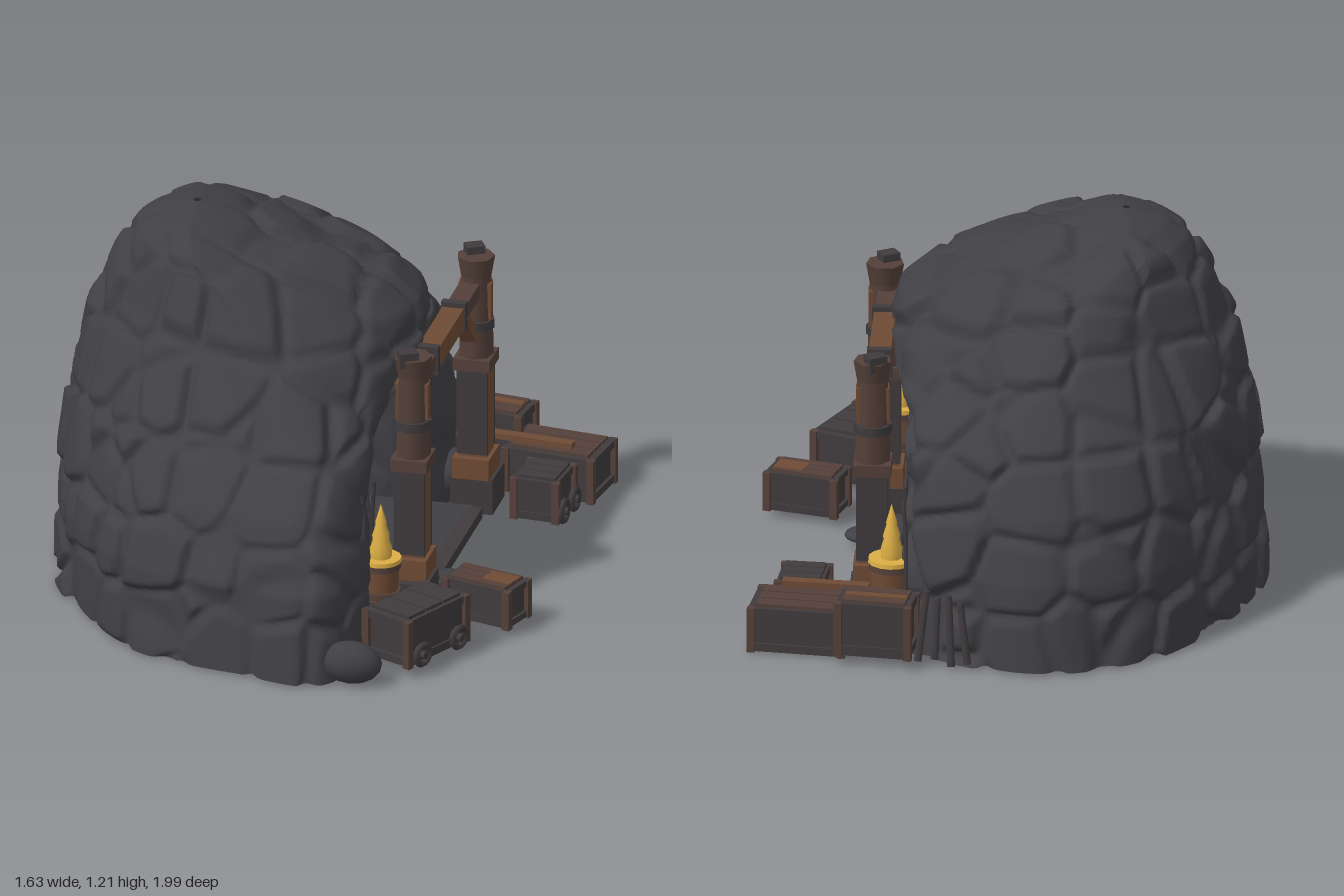
import * as THREE from 'three';

const mat = (name, color, side = THREE.FrontSide) => {
  const m = new THREE.MeshStandardMaterial({ color, side });
  m.name = name;
  return m;
};
const rock = mat('charcoal rock', 0x403f44, THREE.DoubleSide), wood = mat('brown wood', 0x6f4b35);
const darkWood = mat('dark wood', 0x403b3d), wornWood = mat('worn wood', 0x544039), gold = mat('gold', 0xdcae45);
const teal = mat('bright teal', 0x5cc6ca, THREE.DoubleSide), deepTeal = mat('deep teal', 0x1f5559, THREE.DoubleSide);
const { lerp, clamp, smoothstep } = THREE.MathUtils;

// Repeatable random value and cell noise for the stones
const hash = (x, y, z) => {
  const s = Math.sin(x * 127.1 + y * 311.7 + z * 74.7) * 43758.5453;
  return s - Math.floor(s);
};
function stone(x, y, z, size) {
  x /= size; y /= size; z /= size;
  const cx = Math.floor(x), cy = Math.floor(y), cz = Math.floor(z);
  let f1 = 9, f2 = 9, id = 0;
  for (let i = cx - 1; i <= cx + 1; i++) for (let j = cy - 1; j <= cy + 1; j++) for (let k = cz - 1; k <= cz + 1; k++) {
    const d = Math.hypot(i + 0.2 + 0.6 * hash(i, j, k) - x, j + 0.2 + 0.6 * hash(j, k, i + 9) - y, k + 0.2 + 0.6 * hash(k, i + 5, j) - z);
    if (d < f1) { f2 = f1; f1 = d; id = hash(i + 3, k, j); } else if (d < f2) f2 = d;
  }
  const b = smoothstep(f2 - f1, 0, 0.22);
  return 0.026 * (b - 1) + 0.024 * (id - 0.4) * b;
}

// Surface from rows of points
function surface(rows) {
  const n = rows[0].length, index = [];
  for (let j = 0; j < rows.length - 1; j++) for (let i = 0; i < n - 1; i++) {
    const a = j * n + i, b = a + n;
    index.push(a, b, a + 1, a + 1, b, b + 1);
  }
  const g = new THREE.BufferGeometry().setFromPoints(rows.flat());
  g.setIndex(index);
  g.computeVertexNormals();
  return g;
}
function add(parent, name, geo, material, [x, y, z] = [0, 0, 0], ry = 0) {
  const m = new THREE.Mesh(geo, material);
  m.name = name;
  m.position.set(x, y, z);
  m.rotation.y = ry;
  parent.add(m);
  return m;
}
const box = (p, name, size, material, pos, ry) => add(p, name, new THREE.BoxGeometry(...size), material, pos, ry);
const cyl = (p, name, r1, r2, h, n, material, pos) => add(p, name, new THREE.CylinderGeometry(r1, r2, h, n), material, pos);

// Mound levels: y, back x, front x, +z edge, -z edge
const levels = [
  [0.025, -0.81, 0.36, 0.98, -0.99], [0.3, -0.81, 0.35, 0.94, -0.95], [0.5, -0.785, 0.32, 0.84, -0.88],
  [0.65, -0.77, 0.32, 0.72, -0.79], [0.85, -0.73, 0.37, 0.56, -0.61], [0.95, -0.68, 0.34, 0.48, -0.53],
  [1.03, -0.65, 0.25, 0.42, -0.47], [1.09, -0.61, 0.1, 0.37, -0.41], [1.15, -0.57, -0.12, 0.3, -0.32],
  [1.19, -0.50, -0.24, 0.19, -0.21], [1.22, -0.38, -0.36, 0.01, -0.01],
];
const MID = -0.095;
const mouthHalf = y => 0.35 * Math.sqrt(Math.max(0, 1 - (Math.max(0, y - 0.5) / 0.26) ** 2));
// Outline: depth fraction and width fraction, from one side of the mouth round the back
const around = [[0.91, 1], [0.7, 0.97], [0.5, 0.92], [0.33, 0.82], [0.18, 0.6], [0.05, 0.3], [0, -0.08],
  [0.05, -0.4], [0.18, -0.7], [0.33, -0.9], [0.57, -1], [0.74, -0.95]];

function ring(y) {
  const k = levels.findIndex(l => l[0] > y) - 1, a = levels[k], b = levels[k + 1];
  const t = (y - a[0]) / (b[0] - a[0]);
  const [, xb, xf, zp, zm] = a.map((q, i) => lerp(q, b[i], t));
  const w = mouthHalf(y), round = 0.4 * smoothstep(y, 0.6, 1.08);
  const dent = 0.085 * (1 - smoothstep(y, 0.55, 0.78));
  const pt = (fx, z) => {
    const e = z > 0 ? z / zp : z / zm;
    return new THREE.Vector3(xb + (xf - xb) * fx * (1 - round * e * e * fx), y, z);
  };
  const front = (s, ze) => [[1 - dent, 0], [1 - dent * 0.4, 0.3], [s > 0 ? 1 : 0.93, 0.7]].map(([fx, q]) => pt(fx, lerp(MID * (1 - smoothstep(y, 1, 1.2)) + s * w, ze, q)));
  const pts = [...front(1, zp), ...around.map(([fx, f]) => pt(fx, f > 0 ? f * zp : -f * zm)), ...front(-1, zm).reverse()];
  const fade = 1 - smoothstep(y, 1.16, 1.21);
  return new THREE.CatmullRomCurve3(pts).getPoints(260).map(p => {
    const d = new THREE.Vector3(p.x + 0.2, (p.y - 0.3) * 0.8, p.z + 0.03).normalize();
    return p.addScaledVector(d, 0.01 + fade * stone(p.x, p.y, p.z, 0.22));
  });
}

function buildMound(g) {
  const rows = [];
  for (let i = 0; i <= 100; i++) rows.push(ring(i < 85 ? 0.025 + i * 0.0132 : 1.147 + 0.0725 * Math.sin((i - 85) / 15 * Math.PI / 2)));
  add(g, 'rockMound', surface(rows), rock);
  const base = new THREE.Shape(rows[0].map(p => new THREE.Vector2(p.x, p.z)));
  add(g, 'underside', new THREE.ShapeGeometry(base).rotateX(Math.PI / 2), rock, [0, 0.025, 0]);

  // Tunnel lining, closing in towards the back
  const arch = (t, s) => {
    const a = clamp((t - 0.2) / 0.6, 0, 1) * Math.PI;
    const y = t < 0.2 || t > 0.8 ? 0.03 + 0.47 * Math.min(t, 1 - t) / 0.2 : 0.5 + 0.26 * Math.sin(a);
    return [MID + 0.36 * s * Math.cos(a), y * s + 0.03 * (1 - s)];
  };
  const lining = [];
  for (let j = 0; j <= 30; j++) {
    const s = 1.03 - 0.1 * j / 30;
    lining.push(Array.from({ length: 81 }, (_, i) => {
      const [z, y] = arch(i / 80, s);
      const x = lerp(0.245 + 0.085 * smoothstep(y, 0.55, 0.76), -0.26, j / 30);
      const k = 1 - (j > 1 ? 1.2 * stone(x + 7, y, z, 0.17) : 0);
      return new THREE.Vector3(x, 0.3 + (y - 0.3) * k, MID + (z - MID) * k);
    }));
  }
  add(g, 'tunnelWall', surface(lining), rock);

  // Back of the tunnel leans away, with a glowing pool painted on it
  const LEAN = 0.32;
  const plate = (name, pts, m, x) => add(g, name, new THREE.ShapeGeometry(new THREE.Shape(
    pts.map(([z, y]) => new THREE.Vector2(-z, y / Math.cos(LEAN))))).rotateY(Math.PI / 2).rotateZ(LEAN), m, [x, 0, 0]);
  plate('tunnelBack', Array.from({ length: 41 }, (_, i) => arch(i / 40, 1.02)), rock, 0);
  plate('glowEdge', [[0.19, 0.07], [0.2, 0.2], [0.225, 0.3], [0.22, 0.4], [0.2, 0.41], [0.18, 0.36], [0.11, 0.35], [0.06, 0.37],
    [0.03, 0.41], [-0.01, 0.45], [-0.07, 0.42], [-0.14, 0.48], [-0.19, 0.42], [-0.26, 0.45], [-0.37, 0.39], [-0.41, 0.3],
    [-0.4, 0.18], [-0.36, 0.07]], deepTeal, 0.012);
  plate('glow', [[0.17, 0.075], [0.185, 0.2], [0.15, 0.27], [0.125, 0.25], [0.1, 0.17], [0.08, 0.18], [0.06, 0.31], [0.02, 0.33],
    [-0.02, 0.4], [-0.07, 0.41], [-0.08, 0.32], [-0.1, 0.29], [-0.14, 0.23], [-0.18, 0.24], [-0.22, 0.32], [-0.3, 0.33],
    [-0.35, 0.27], [-0.37, 0.23], [-0.36, 0.15], [-0.31, 0.08]], teal, 0.018);
  box(g, 'tunnelFloor', [0.64, 0.035, 0.72], rock, [0.1, 0.0425, MID]);

  // Loose boulders: position, then half sizes
  for (const [x, y, z, a, b, c] of [[0.36, 0.09, 0.92, 0.1, 0.07, 0.065], [0.47, 0.05, 0.1, 0.06, 0.02, 0.06],
    [0.34, 0.09, 0.45, 0.07, 0.07, 0.08], [0.3, 0.1, -0.62, 0.09, 0.08, 0.09]]) {
    add(g, 'boulder', new THREE.IcosahedronGeometry(1, 2), rock, [x, y, z]).scale.set(a, b, c);
  }
}

// Gate: stacked posts, lintel and braces
function buildGate(g) {
  for (const [z, s] of [[0.31, 1], [-0.52, -1]]) {
    const p = new THREE.Group();
    p.name = 'gatePost';
    p.position.set(0.41, 0, z);
    g.add(p);
    box(p, 'postFoot', [0.14, 0.12, 0.16], darkWood, [0, 0.09, s * 0.02]);
    box(p, 'postPlinth', [0.12, 0.07, 0.14], wood, [0, 0.185, 0]);
    box(p, 'postShaft', [0.095, 0.33, 0.09], wood, [0, 0.38, 0]);
    for (const e of [-1, 1]) box(p, 'postEdge', [0.1, 0.3, 0.015], darkWood, [0, 0.38, e * 0.045]);
    box(p, 'postCollar', [0.12, 0.04, 0.125], wornWood, [0, 0.54, 0]);
    cyl(p, 'upperPost', 0.05, 0.058, 0.3, 7, wornWood, [0, 0.7, 0]);
    box(p, 'upperFace', [0.105, 0.12, 0.05], wood, [0, 0.75, 0], 0.1);
    cyl(p, 'postBand', 0.062, 0.062, 0.03, 8, darkWood, [0, 0.67, 0]);
    cyl(p, 'postCap', 0.062, 0.048, 0.08, 7, wornWood, [0, 0.86, 0]);
    box(p, 'capSplinter', [0.06, 0.05, 0.05], darkWood, [-0.01, 0.9, s * 0.025], 0.5);
    const brace = box(g, 'brace', [0.05, 0.17, 0.035], wood, [0.4, 0.69, z - s * 0.1]);
    brace.rotation.x = -s * 0.8;
    box(g, 'lintelClamp', [0.08, 0.095, 0.03], darkWood, [0.4, 0.793, MID + s * 0.18]);
    box(g, 'lintelEnd', [0.065, 0.05, 0.2], wornWood, [0.4, 0.793, MID + s * 0.29]);
  }
  box(g, 'lintel', [0.07, 0.07, 0.36], wood, [0.4, 0.79, MID]);
  box(g, 'threshold', [0.05, 0.035, 0.66], darkWood, [0.43, 0.05, MID]);
}

// Barrel holding a tapering golden flame
function buildTorch(g, x, z, r) {
  const t = new THREE.Group();
  t.name = 'torch';
  t.position.set(x, 0, z);
  g.add(t);
  cyl(t, 'stand', r, r * 1.15, 0.14, 10, darkWood, [0, 0.1, 0]);
  cyl(t, 'barrel', r, r * 0.9, 0.13, 14, wood, [0, 0.235, 0]);
  for (const y of [0.19, 0.285]) cyl(t, 'hoop', r * 1.07, r * 1.07, 0.022, 14, wornWood, [0, y, 0]);
  cyl(t, 'embers', r * 1.1, r * 1.12, 0.014, 14, gold, [0, 0.303, 0]);
  const flame = [[0.034, 0.3], [0.036, 0.34], [0.026, 0.37], [0.028, 0.385], [0.017, 0.42], [0.018, 0.43], [0.001, 0.49]];
  add(t, 'flame', new THREE.LatheGeometry(flame.map(p => new THREE.Vector2(...p)), 10), gold);
  const hook = new THREE.CatmullRomCurve3([[-0.05, 0.1, -0.085], [-0.05, 0.4, -0.085], [-0.04, 0.53, -0.07], [-0.04, 0.5, -0.05]].map(p => new THREE.Vector3(...p)));
  add(t, 'hook', new THREE.TubeGeometry(hook, 12, 0.007, 5), darkWood);
}

// Crate or cart: dark body with rails, planks and optional wheels
function buildCrate(g, name, [w, h, d], [x, y, z], ry, lid, wheels) {
  const c = new THREE.Group();
  c.name = name;
  c.position.set(x, y, z);
  c.rotation.y = ry;
  g.add(c);
  box(c, 'body', [w * 0.92, h, d * 0.92], darkWood, [0, h / 2, 0]);
  for (const v of [0.12, 0.92]) box(c, 'rail', [w, h * 0.16, d], darkWood, [0, h * v, 0]);
  for (const i of [-1, 0, 1]) box(c, 'lidPlank', [w * 0.85, 0.012, d * 0.26], lid, [0, h + 0.004, i * d * 0.29]);
  for (const sx of [-1, 1]) for (const sz of [-1, 1]) box(c, 'corner', [0.025, h, 0.025], wornWood, [sx * w * 0.47, h / 2, sz * d * 0.47]);
  if (wheels) for (const sz of [-1, 1]) {
    const o = [w / 2 + 0.012, 0.035, sz * d * 0.3];
    add(c, 'wheel', new THREE.TorusGeometry(0.032, 0.011, 6, 14), darkWood, o, Math.PI / 2);
    cyl(c, 'hub', 0.013, 0.013, 0.03, 8, darkWood, o).rotation.z = Math.PI / 2;
  }
}

export function createModel() {
  const g = new THREE.Group();
  g.name = 'caveEntrance';
  buildMound(g);
  buildGate(g);
  buildTorch(g, 0.37, 0.57, 0.06);
  buildTorch(g, 0.34, -0.73, 0.068);
  buildCrate(g, 'mineCart', [0.18, 0.16, 0.3], [0.51, 0.05, 0.67], -0.45, darkWood, true);
  buildCrate(g, 'smallCrate', [0.24, 0.13, 0.13], [0.66, 0.04, 0.345], -0.3, wornWood, false);
  buildCrate(g, 'longCrate', [0.31, 0.15, 0.2], [0.625, 0.02, -0.76], -0.14, wornWood, false);
  buildCrate(g, 'rearCrate', [0.24, 0.18, 0.14], [0.38, 0.05, -0.88], -0.15, wornWood, false);
  buildCrate(g, 'sideCrate', [0.15, 0.14, 0.17], [0.63, 0.03, -0.53], -0.1, darkWood, true);
  // Brown boards lying on the crates
  box(g, 'looseBoard', [0.28, 0.02, 0.035], wood, [0.55, 0.2, -0.7], -0.12);
  box(g, 'looseBoard', [0.1, 0.02, 0.07], wood, [0.71, 0.172, 0.355], -0.3);
  box(g, 'looseBoard', [0.2, 0.02, 0.03], wood, [0.38, 0.235, -0.89], -0.15);
  // Leaning stakes beside the crates
  for (let i = 0; i < 4; i++) {
    const s = cyl(g, 'stake', 0.012, 0.014, 0.2 + 0.03 * (i % 2), 6, darkWood, [0.1 + i * 0.045, 0.14, -0.95 + i * 0.02]);
    s.rotation.set(0.15, 0, 0.08 * (i - 1.5));
  }
  return g;
}
